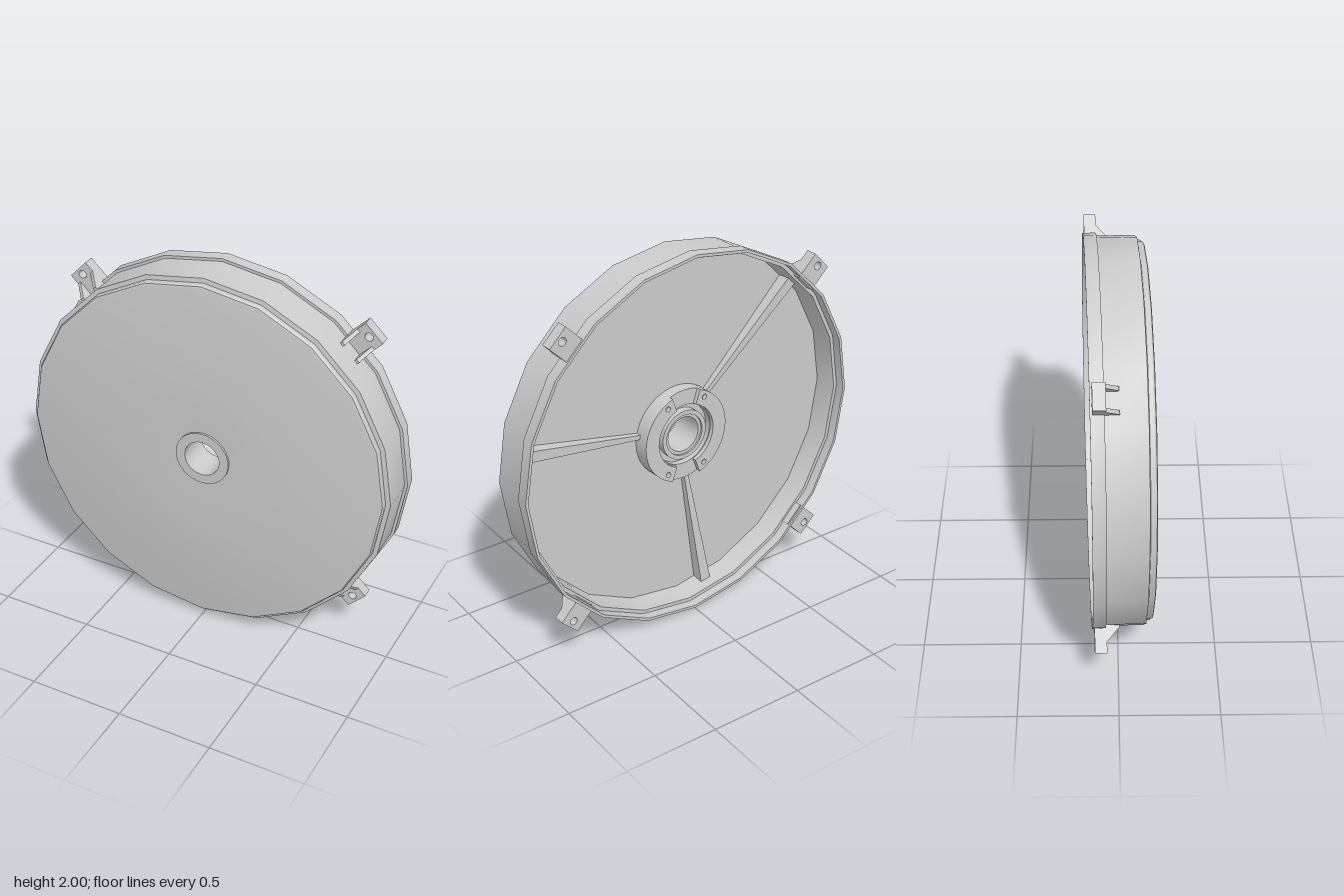
import * as THREE from 'three';
import { toCreasedNormals } from 'three/addons/utils/BufferGeometryUtils.js';

const material = new THREE.MeshStandardMaterial({ color: 0xcccccc });
const { degToRad, mapLinear } = THREE.MathUtils;

function add(parent, name, geometry) {
  const mesh = new THREE.Mesh(geometry, material);
  mesh.name = name;
  parent.add(mesh);
  return mesh;
}

// Closed profile of [radius, z] pairs turned about the z axis
function turned(profile, sides) {
  const points = [...profile, profile[0]].map(([r, z]) => new THREE.Vector2(r, z));
  return toCreasedNormals(new THREE.LatheGeometry(points, sides).rotateX(Math.PI / 2), 0.45);
}

function extrude(shape, depth) {
  return new THREE.ExtrudeGeometry(shape, { depth, bevelEnabled: false, curveSegments: 16 });
}

function polygon(points) {
  return new THREE.Shape(points.map(([x, y]) => new THREE.Vector2(x, y)));
}

function hole(shape, x, y, r) {
  shape.holes.push(new THREE.Path().absarc(x, y, r, 0, Math.PI * 2, true));
}

// Side outline in the x-z plane, given a thickness centred on y
function upright(points, thickness) {
  return extrude(polygon(points), thickness).rotateX(Math.PI / 2).translate(0, thickness / 2, 0);
}

// Mounting lug pointing along +x: drilled plate with two short triangular gussets
function createLug() {
  const lug = new THREE.Group();
  lug.name = 'mountingLug';
  const plate = polygon([[0.965, -0.063], [1.11, -0.063], [1.11, 0.063], [0.965, 0.063]]);
  hole(plate, 1.075, 0, 0.021);
  add(lug, 'lugPlate', extrude(plate, 0.06).translate(0, 0, -0.14));
  const brace = [[0.965, -0.085], [1.06, -0.085], [0.985, -0.018], [0.965, -0.018]];
  for (const side of [-1, 1]) {
    add(lug, 'lugGusset', upright(brace, 0.02)).position.y = side * 0.053;
  }
  return lug;
}

// Stiffening rib along +x, growing wider and taller towards the wall
function createRib() {
  const rib = upright([[0.24, -0.008], [0.955, -0.045], [0.955, 0.04], [0.24, 0.04]], 1);
  const position = rib.attributes.position;
  for (let i = 0; i < position.count; i++) {
    const width = mapLinear(position.getX(i), 0.24, 0.955, 0.024, 0.06);
    position.setY(i, position.getY(i) * width);
  }
  rib.computeVertexNormals();
  return rib;
}

export function createModel() {
  const model = new THREE.Group();
  model.name = 'roundCover';

  const cover = new THREE.Group();
  cover.name = 'cover';
  cover.position.y = 1;
  cover.rotation.y = 0.03;
  model.add(cover);

  // Twenty-sided shell: thin rim skirt, wall, rounded front edge, dished face, flat floor
  add(cover, 'shell', turned([
    [0.985, -0.15], [1.0, -0.15], [1.0, -0.085], [0.985, -0.085], [0.985, 0.11],
    [0.962, 0.114], [0.962, 0.134], [0.956, 0.143], [0.943, 0.147],
    [0.13, 0.13], [0.13, 0.02], [0.955, 0.02], [0.965, -0.1], [0.985, -0.1],
  ], 20));

  // Stepped hub with a through bore and a flat front ring
  add(cover, 'hub', turned([
    [0.095, -0.04], [0.112, -0.04], [0.112, -0.05], [0.135, -0.05], [0.135, -0.01],
    [0.165, -0.01], [0.165, -0.043], [0.25, -0.043], [0.25, 0.08],
    [0.145, 0.08], [0.145, 0.141], [0.095, 0.141],
  ], 40));

  // Two raised half collars with screw holes near their ends
  for (const turn of [0, Math.PI]) {
    const reach = 1.22;
    const collar = new THREE.Shape();
    collar.absarc(0, 0, 0.25, -reach, reach, false);
    collar.absarc(0, 0, 0.17, reach, -reach, true);
    for (const side of [-1, 1]) hole(collar, 0.113, 0.187 * side, 0.014);
    const mesh = add(cover, 'hubCollar', toCreasedNormals(extrude(collar, 0.025), 0.45));
    mesh.position.z = -0.066;
    mesh.rotation.z = turn;
  }

  // Three ribs across the floor
  for (const angle of [11, 136, 261]) {
    add(cover, 'rib', createRib()).rotation.z = degToRad(angle);
  }

  // Four lugs around the rim
  for (const angle of [45.3, 135.8, 225, 314.8]) {
    const lug = createLug();
    lug.rotation.z = degToRad(angle);
    cover.add(lug);
  }

  return model;
}
